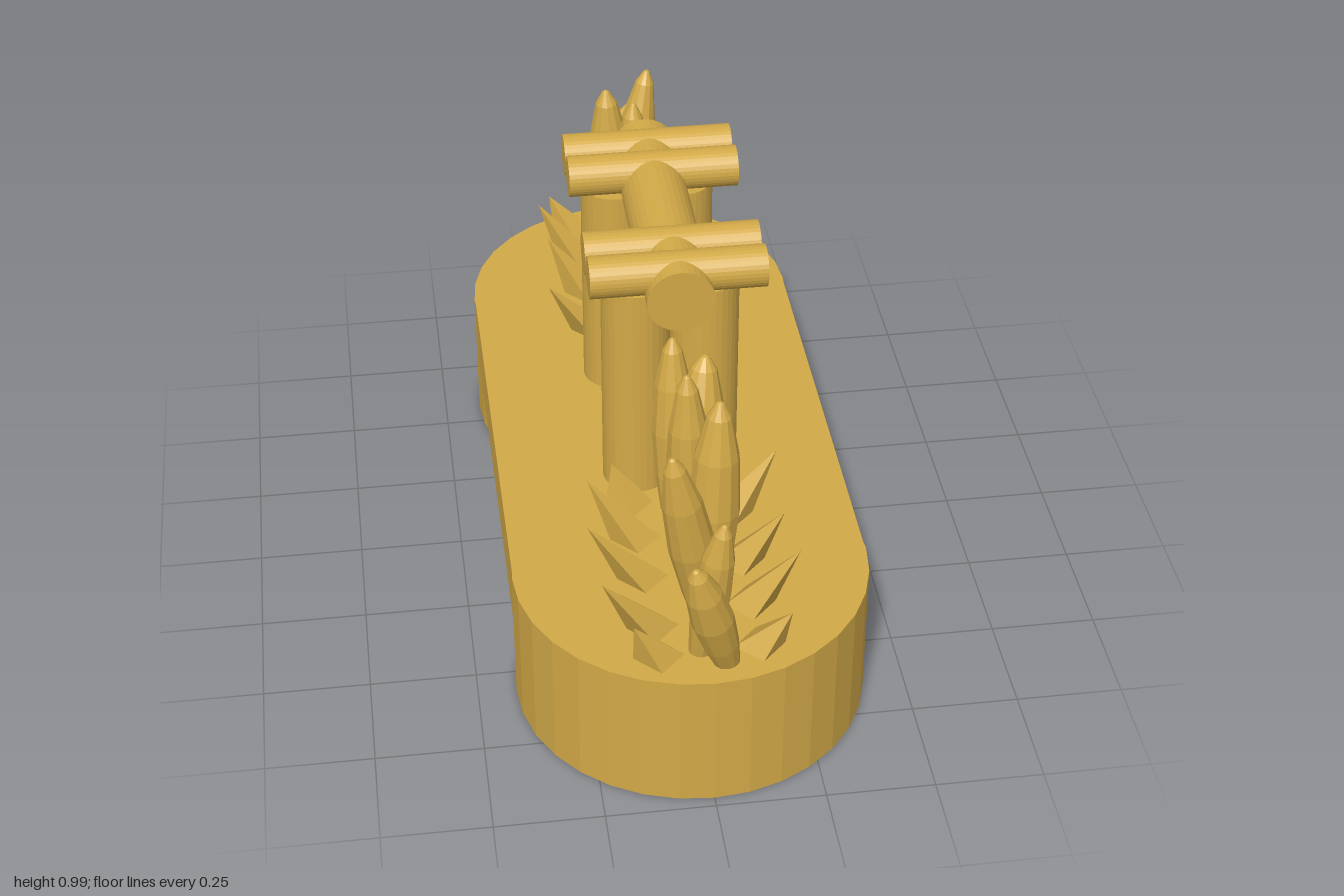
import * as THREE from 'three';

const gold = new THREE.MeshStandardMaterial({ color: 0xd2a947, flatShading: true });
gold.name = 'gold';

function add(parent, name, geometry, x = 0, y = 0, z = 0) {
  const mesh = new THREE.Mesh(geometry, gold);
  mesh.name = name;
  mesh.position.set(x, y, z);
  parent.add(mesh);
  return mesh;
}

// Bulging pointed column running from a foot point to a tip point
function spire(parent, foot, tip, radius) {
  const a = new THREE.Vector3(...foot), b = new THREE.Vector3(...tip);
  const dir = b.clone().sub(a), length = dir.length();
  const profile = [[0, 0], [0.6, 0], [0.85, 0.22], [1, 0.48], [0.84, 0.74], [0.46, 0.93], [0.15, 0.99], [0, 1]]
    .map(([r, t]) => new THREE.Vector2(r * radius, t * length));
  const mesh = add(parent, 'spire', new THREE.LatheGeometry(profile, 12), ...foot);
  mesh.quaternion.setFromUnitVectors(new THREE.Vector3(0, 1, 0), dir.normalize());
}

// Four-sided spike whose tip leans outwards over a flat foot
function spike(parent, side, z, reach, top, footZ) {
  const h = top - 0.34;
  const geometry = new THREE.ConeGeometry(0.06, h, 4).translate(0, h / 2, 0);
  const p = geometry.attributes.position;
  for (let i = 0; i < p.count; i++) {
    const t = p.getY(i) / h;
    p.setX(i, p.getX(i) + side * t * (reach - 0.11));
    p.setZ(i, p.getZ(i) + t * (z - footZ));
  }
  geometry.computeVertexNormals();
  add(parent, 'spike', geometry, side * 0.11, 0.34, footZ);
}

// One end: round foot, pillars, cross beams, spires and spikes
function createHalf() {
  const half = new THREE.Group();
  add(half, 'roundFoot', new THREE.CylinderGeometry(0.41, 0.41, 0.345, 32), 0, 0.1725, 0.565);
  for (const x of [-0.08, 0.08]) {
    add(half, 'pillar', new THREE.CylinderGeometry(0.08, 0.08, 0.56, 32), x, 0.62, 0.21);
  }

  const spires = [
    [[0.035, 0.34, 0.9], [-0.05, 0.67, 0.975], 0.048],
    [[-0.02, 0.34, 0.86], [0.025, 0.72, 0.895], 0.043],
    [[0.015, 0.34, 0.765], [-0.08, 0.855, 0.825], 0.053],
    [[0.02, 0.34, 0.695], [0.045, 0.885, 0.68], 0.06],
    [[0.0, 0.34, 0.585], [-0.015, 0.895, 0.59], 0.053],
    [[0.0, 0.34, 0.48], [0.055, 0.81, 0.4], 0.066],
    [[-0.01, 0.34, 0.36], [-0.01, 0.81, 0.325], 0.05],
  ];
  for (const s of spires) spire(half, ...s);

  // side, tip z, tip x, tip y, foot z
  const spikes = [
    [1, 0.37, 0.23, 0.5, 0.4], [-1, 0.43, 0.22, 0.5, 0.46],
    [1, 0.6, 0.21, 0.5, 0.57], [-1, 0.61, 0.24, 0.51, 0.6],
    [1, 0.75, 0.22, 0.51, 0.72], [-1, 0.81, 0.23, 0.51, 0.77],
    [1, 0.885, 0.18, 0.45, 0.86], [-1, 0.89, 0.17, 0.45, 0.87],
    [-1, 0.31, 0.15, 0.45, 0.33],
  ];
  for (const s of spikes) spike(half, ...s);
  return half;
}

// Double door with raised frames around sunken panels on both faces
function createDoor() {
  const door = new THREE.Group();
  door.name = 'door';
  const bar = (name, x, y, z, h, d, w = 0.02) => add(door, name, new THREE.BoxGeometry(w, h, d), x, y, z);
  bar('doorLeaf', 0, 0.55, -0.01, 0.42, 0.28, 0.05);
  for (const s of [-1, 1]) {
    bar('doorTopRail', s * 0.03, 0.746, -0.01, 0.028, 0.28);
    bar('doorMiddleRail', s * 0.03, 0.527, -0.01, 0.018, 0.28);
    bar('doorCentreStile', s * 0.035, 0.55, -0.01, 0.415, 0.02, 0.03);
    for (const e of [-1, 1]) {
      bar('doorStile', s * 0.03, 0.55, -0.01 + e * 0.03, 0.415, 0.04);
      for (const [y, h] of [[0.63, 0.16], [0.425, 0.155]]) {
        bar('doorPanel', s * 0.027, y, -0.01 + e * 0.097, h, 0.065, 0.01);
      }
    }
  }
  return door;
}

export function createModel() {
  const model = new THREE.Group();
  model.name = 'gateMonument';

  // Slab bridging the two feet
  add(model, 'slab', new THREE.BoxGeometry(0.816, 0.16, 1.13), 0, 0.265, 0);

  const front = createHalf();
  front.name = 'frontHalf';
  const back = createHalf();
  back.name = 'backHalf';
  back.rotation.y = Math.PI;
  model.add(front, back);

  // Roof beam with four cross beams
  add(model, 'roofBeam', new THREE.CylinderGeometry(0.078, 0.078, 0.68, 32).rotateX(Math.PI / 2), 0.01, 0.908, -0.01);
  for (const z of [0.257, 0.155, -0.18, -0.282]) {
    add(model, 'crossBeam', new THREE.CylinderGeometry(0.049, 0.049, 0.405, 32).rotateZ(Math.PI / 2), 0.01, 0.943, z);
  }

  model.add(createDoor());
  return model;
}
